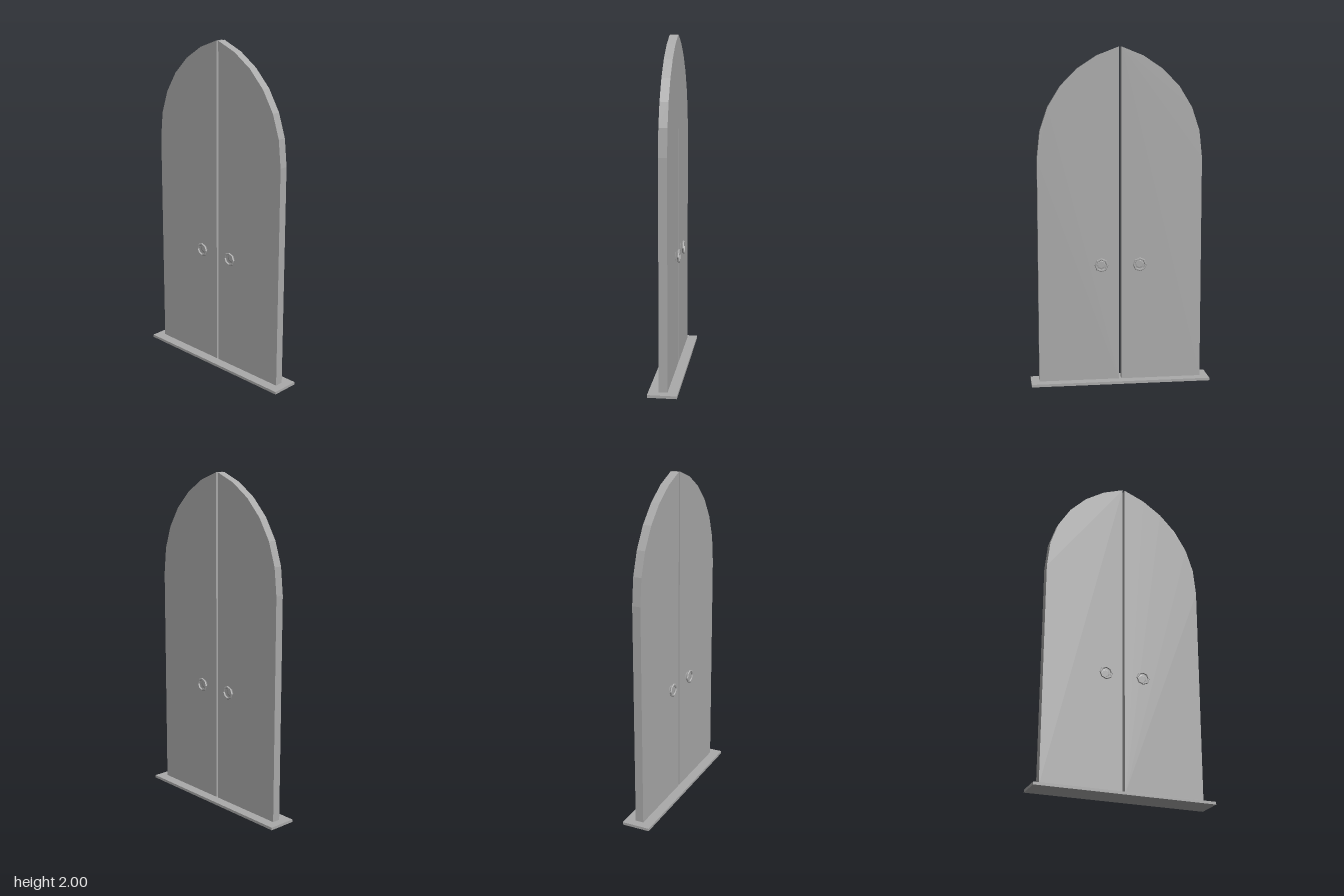
import * as THREE from 'three';

export function createModel() {
  const group = new THREE.Group();
  group.name = 'archedDoubleDoor';
  const stone = new THREE.MeshStandardMaterial({ color: 0xaaaaaa, flatShading: true });
  stone.name = 'plainGrey';

  function add(geometry, name, x = 0, y = 0, z = 0) {
    const mesh = new THREE.Mesh(geometry, stone);
    mesh.name = name;
    mesh.position.set(x, y, z);
    group.add(mesh);
    return mesh;
  }

  // Threshold slab
  const slab = 0.016;
  add(new THREE.BoxGeometry(1.076, slab, 0.17), 'threshold', 0, slab / 2, 0);

  // Half-arch outline of one leaf, from the hinge side up to the tip
  const arch = [[0.489, 1.353], [0.472, 1.513], [0.426, 1.65], [0.351, 1.772],
    [0.252, 1.873], [0.135, 1.95], [0.007, 2]];
  const depth = 0.05;

  for (const side of [1, -1]) {
    const label = side > 0 ? 'left' : 'right';
    const points = [[0.007, slab], [0.489, slab], ...arch]
      .map(([x, y]) => new THREE.Vector2(side * x, y));
    const leaf = new THREE.ExtrudeGeometry(new THREE.Shape(points), { depth, bevelEnabled: false });
    add(leaf, label + 'DoorLeaf', 0, 0, -depth / 2);

    // Pull rings and their shallow back plates on both faces
    for (const face of [1, -1]) {
      const end = face > 0 ? 'Front' : 'Back';
      add(new THREE.TorusGeometry(0.035, 0.0065, 6, 8), label + end + 'PullRing',
        side * 0.115, 0.72, face * 0.043);
      const plate = new THREE.CylinderGeometry(0.02, 0.036, 0.004, 8);
      plate.rotateX(face * Math.PI / 2);
      add(plate, label + end + 'RingPlate', side * 0.115, 0.72, face * 0.025);
    }
  }
  return group;
}
